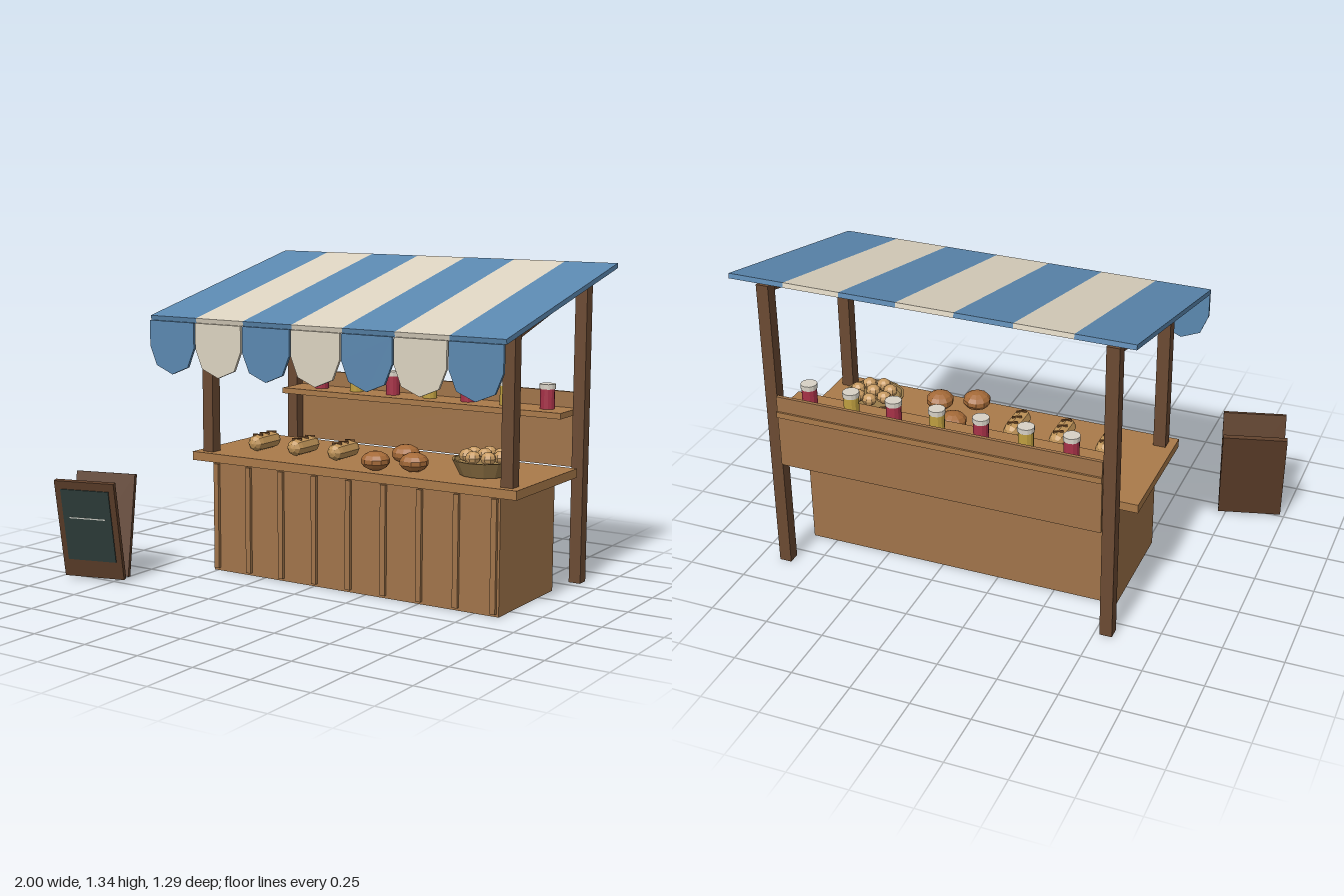
import * as THREE from 'three';

const mat = (color, extra = {}) => new THREE.MeshStandardMaterial({ color, flatShading: true, ...extra });
const M = {
  wood: mat(0xa0744a), top: mat(0xaa7a4a), post: mat(0x6b4a32), blue: mat(0x5b88b0), cream: mat(0xdcd3c0),
  red: mat(0xa83248), yellow: mat(0xc0a040), lid: mat(0xd8d2c6), loaf: mat(0xc09458), crust: mat(0x7a4f28),
  round: mat(0xa56a38), roll: mat(0xc89b62), basket: mat(0x9a7b4a, { side: THREE.DoubleSide }),
  frame: mat(0x5e3f2a), slate: mat(0x2f3f3c), chalk: mat(0xd8d8d0),
};

function add(parent, name, geo, material, x = 0, y = 0, z = 0) {
  const mesh = new THREE.Mesh(geo, material);
  mesh.name = name;
  mesh.position.set(x, y, z);
  parent.add(mesh);
  return mesh;
}

// Box given by its extents on each axis
function slab(parent, name, material, [x0, x1], [y0, y1], [z0, z1]) {
  return add(parent, name, new THREE.BoxGeometry(x1 - x0, y1 - y0, z1 - z0), material,
    (x0 + x1) / 2, (y0 + y1) / 2, (z0 + z1) / 2);
}

// Box running between two heights along z, tilted to match
function sloped(parent, name, material, x, width, thick, [z0, y0], [z1, y1]) {
  const length = Math.hypot(z1 - z0, y1 - y0);
  const mesh = add(parent, name, new THREE.BoxGeometry(width, thick, length), material, x, (y0 + y1) / 2, (z0 + z1) / 2);
  mesh.rotation.x = Math.atan2(y1 - y0, z0 - z1);
  return mesh;
}

const blob = (rx, ry, rz, w = 10, h = 7) => new THREE.SphereGeometry(1, w, h).scale(rx, ry, rz);

function buildCounter(g) {
  slab(g, 'counterBody', M.wood, [-0.52, 0.86], [0, 0.48], [-0.38, 0.1]);
  slab(g, 'counterTop', M.top, [-0.607, 0.944], [0.48, 0.517], [-0.41, 0.133]);
  for (let i = 0; i < 9; i++) {
    const x = -0.498 + i * 0.167;
    slab(g, 'frontBatten', M.wood, [x - 0.012, x + 0.012], [0.012, 0.47], [0.1, 0.114]);
  }
}

function buildFrame(g) {
  for (const x of [-0.548, 0.885]) {
    slab(g, 'frontPost', M.post, [x - 0.026, x + 0.026], [0.517, 1.125], [0.048, 0.1]);
    slab(g, 'backPost', M.post, [x - 0.026, x + 0.026], [0, 1.285], [-0.594, -0.542]);
    sloped(g, 'rafter', M.post, x, 0.04, 0.036, [0.075, 1.101], [-0.568, 1.272]);
  }
  // Back shelf and its panel
  slab(g, 'backPanel', M.wood, [-0.52, 0.86], [0.485, 0.802], [-0.6, -0.585]);
  slab(g, 'shelf', M.top, [-0.52, 0.86], [0.71, 0.735], [-0.608, -0.422]);
}

function buildAwning(g) {
  const step = 1.65 / 7, r = 0.114;
  // Straight-sided flap ending in a faceted half circle
  const flap = new THREE.Shape();
  flap.moveTo(r, 0.105);
  flap.lineTo(-r, 0.105);
  for (let k = 0; k <= 4; k++) {
    const a = Math.PI + (k * Math.PI) / 4;
    flap.lineTo(r * Math.cos(a), r * Math.sin(a));
  }
  const flapGeo = new THREE.ExtrudeGeometry(flap, { depth: 0.012, bevelEnabled: false });
  for (let i = 0; i < 7; i++) {
    const x = -0.653 + step * (i + 0.5);
    const material = i % 2 ? M.cream : M.blue;
    sloped(g, 'awningStripe', material, x, step, 0.02, [0.342, 1.109], [-0.645, 1.33]);
    add(g, 'awningFlap', flapGeo, material, x, 0.995, 0.343);
  }
}

function buildGoods(g) {
  // Jars on the back shelf
  for (let i = 0; i < 7; i++) {
    const x = -0.366 + i * 0.187;
    add(g, 'jar', new THREE.CylinderGeometry(0.031, 0.031, 0.084, 12), i % 2 ? M.yellow : M.red, x, 0.777, -0.513);
    add(g, 'jarLid', new THREE.CylinderGeometry(0.034, 0.034, 0.021, 12), M.lid, x, 0.829, -0.513);
  }
  // Long loaves with slashes across the crust
  for (let i = 0; i < 3; i++) {
    const loaf = new THREE.Group();
    loaf.name = 'longLoaf';
    loaf.position.set(-0.364 + i * 0.202, 0.557, -0.06);
    g.add(loaf);
    add(loaf, 'loafBody', new THREE.CapsuleGeometry(0.038, 0.11, 3, 8).rotateX(Math.PI / 2).scale(1, 0.95, 1), M.loaf);
    for (const z of [-0.05, 0, 0.05]) {
      add(loaf, 'loafSlash', new THREE.BoxGeometry(0.042, 0.008, 0.009), M.crust, 0, 0.034, z).rotation.y = 0.5;
    }
  }
  // Round loaves
  for (const [x, z] of [[0.277, 0.07], [0.302, -0.13], [0.425, 0.015]]) {
    add(g, 'roundLoaf', blob(0.06, 0.04, 0.06), M.round, x, 0.557, z);
  }
  // Basket heaped with rolls
  const basket = new THREE.Group();
  basket.name = 'rollBasket';
  basket.position.set(0.692, 0.517, -0.085);
  g.add(basket);
  const profile = [[0, 0.004], [0.1, 0.004], [0.132, 0.066], [0.122, 0.066], [0.115, 0.05], [0, 0.05]];
  add(basket, 'basketBowl', new THREE.LatheGeometry(profile.map(p => new THREE.Vector2(...p)), 14), M.basket);
  add(basket, 'roll', blob(0.032, 0.026, 0.032, 8, 6), M.roll, 0, 0.083, 0);
  for (let i = 0; i < 7; i++) {
    const a = (i / 7) * Math.PI * 2;
    add(basket, 'roll', blob(0.032, 0.026, 0.032, 8, 6), M.roll, 0.072 * Math.cos(a), 0.079, 0.072 * Math.sin(a));
  }
}

function buildSign(g) {
  const sign = new THREE.Group();
  sign.name = 'standingSign';
  sign.position.set(-0.845, 0.225, 0.492);
  sign.rotation.y = 0.26;
  g.add(sign);
  for (const s of [1, -1]) {
    const board = add(sign, s > 0 ? 'signFront' : 'signBack', new THREE.BoxGeometry(0.272, 0.435, 0.021), M.frame, 0, 0, s * 0.063);
    board.rotation.x = s * 0.2;
    if (s > 0) {
      add(board, 'slatePanel', new THREE.BoxGeometry(0.22, 0.32, 0.006), M.slate, 0, 0.022, 0.0115);
      add(board, 'chalkLine', new THREE.BoxGeometry(0.165, 0.005, 0.002), M.chalk, 0, 0.055, 0.0145);
    }
  }
}

export function createModel() {
  const model = new THREE.Group();
  model.name = 'marketStall';
  for (const build of [buildCounter, buildFrame, buildAwning, buildGoods, buildSign]) build(model);
  return model;
}
